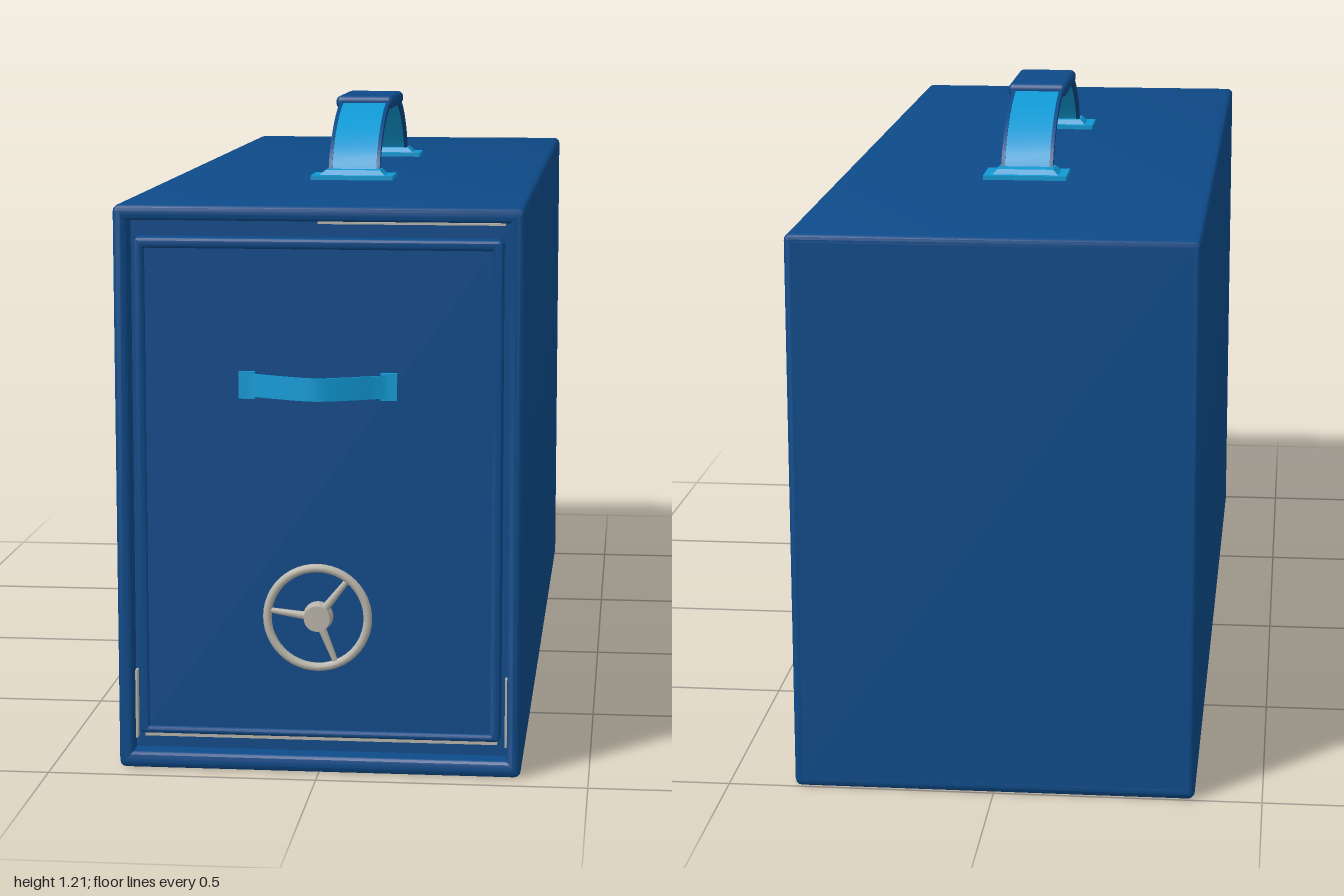
import * as THREE from 'three';
import { toCreasedNormals } from 'three/addons/utils/BufferGeometryUtils.js';
import { RoundedBoxGeometry } from 'three/addons/geometries/RoundedBoxGeometry.js';

const blue = new THREE.MeshStandardMaterial({ color: 0x0d4a88 });
blue.name = 'blue paint';
const sky = new THREE.MeshStandardMaterial({ color: 0x1099d4 });
sky.name = 'light blue';
const metal = new THREE.MeshStandardMaterial({ color: 0xb8b4aa });
metal.name = 'grey metal';

const H = 1.055, FRONT = 0.955, BACK = -1, MID = -0.02;

function add(parent, name, geo, mat, x = 0, y = 0, z = 0) {
  const mesh = new THREE.Mesh(geo, mat);
  mesh.name = name;
  mesh.position.set(x, y, z);
  parent.add(mesh);
  return mesh;
}

function roundedRect(path, x0, y0, x1, y1, r) {
  path.moveTo(x0 + r, y0);
  path.lineTo(x1 - r, y0).quadraticCurveTo(x1, y0, x1, y0 + r);
  path.lineTo(x1, y1 - r).quadraticCurveTo(x1, y1, x1 - r, y1);
  path.lineTo(x0 + r, y1).quadraticCurveTo(x0, y1, x0, y1 - r);
  path.lineTo(x0, y0 + r).quadraticCurveTo(x0, y0, x0 + r, y0);
  return path;
}

// Rectangular frame with rounded lips; arrays are the [x0, y0, x1, y1] limits
function frame(o, i, depth, bevel) {
  const b = bevel;
  const shape = roundedRect(new THREE.Shape(), o[0] + b, o[1] + b, o[2] - b, o[3] - b, 0.004);
  shape.holes.push(roundedRect(new THREE.Path(), i[0] - b, i[1] - b, i[2] + b, i[3] + b, 0.004));
  const geo = new THREE.ExtrudeGeometry(shape, {
    depth: depth - 2 * b, bevelThickness: b, bevelSize: b, bevelSegments: 3, curveSegments: 3,
  });
  geo.translate(0, 0, b);
  return toCreasedNormals(geo, 0.7);
}

// Bent strip: a smooth profile thickened and extruded, centred on its width
function strip(points, thickness, width, segments = 32) {
  const curve = new THREE.SplineCurve(points.map(p => new THREE.Vector2(...p)));
  const outer = [], inner = [];
  for (let k = 0; k <= segments; k++) {
    const p = curve.getPoint(k / segments), t = curve.getTangent(k / segments);
    const n = new THREE.Vector2(-t.y, t.x).multiplyScalar(thickness / 2);
    outer.push(p.clone().add(n));
    inner.unshift(p.clone().sub(n));
  }
  const geo = new THREE.ExtrudeGeometry(new THREE.Shape([...outer, ...inner]), { depth: width, bevelEnabled: false });
  geo.translate(0, 0, -width / 2);
  return toCreasedNormals(geo, 0.6);
}

function carryHandle() {
  const g = new THREE.Group();
  g.name = 'carryHandle';
  const half = [[0.33, 1.062], [0.31, 1.098], [0.26, 1.138], [0.19, 1.172], [0.1, 1.194]];
  const arc = [...half.map(([u, v]) => [-u, v]), [0, 1.198], ...half.reverse()];
  add(g, 'strap', strip(arc, 0.01, 0.09).rotateY(-Math.PI / 2), sky, 0, 0, MID);
  for (const s of [-1, 1]) {
    add(g, 'strapEdge', strip(arc, 0.014, 0.007).rotateY(-Math.PI / 2), blue, s * 0.0485, 0, MID);
    // Stepped mounting foot
    const z = MID + s * 0.335;
    add(g, 'footPlate', new THREE.BoxGeometry(0.166, 0.01, 0.096), sky, 0, H + 0.004, z);
    const top = new THREE.CylinderGeometry(0.8, 1, 1, 4, 1).rotateY(Math.PI / 4);
    top.scale(0.138 / Math.SQRT2, 0.013, 0.074 / Math.SQRT2);
    add(g, 'footStep', toCreasedNormals(top, 0.3), sky, 0, H + 0.0125, z);
  }
  add(g, 'grip', new RoundedBoxGeometry(0.122, 0.028, 0.236, 4, 0.012), blue, 0, 1.197, MID);
  return g;
}

function lockWheel() {
  const g = new THREE.Group();
  g.name = 'lockWheel';
  add(g, 'wheelRim', new THREE.TorusGeometry(0.093, 0.008, 10, 48), metal);
  add(g, 'wheelHub', new THREE.CylinderGeometry(0.024, 0.028, 0.026, 24).rotateX(Math.PI / 2), metal);
  for (const degrees of [52, 172, 292]) {
    const arm = new THREE.CylinderGeometry(0.005, 0.008, 0.075, 8);
    arm.translate(0, 0.055, 0).rotateZ(THREE.MathUtils.degToRad(degrees - 90));
    add(g, 'wheelSpoke', arm, metal);
  }
  g.position.set(0, 0.298, 0.962);
  return g;
}

function door() {
  const g = new THREE.Group();
  g.name = 'door';
  add(g, 'doorPanel', new THREE.BoxGeometry(0.64, 0.9, 0.035), blue, 0, 0.528, 0.927);
  add(g, 'doorRim', frame([-0.337, 0.066, 0.337, 0.996], [-0.318, 0.08, 0.318, 0.976], 0.042, 0.006), blue, 0, 0, 0.908);
  // Bowed pull
  const pull = [[-0.145, 0.951], [-0.115, 0.954], [-0.06, 0.979], [0, 0.997], [0.06, 0.979], [0.115, 0.954], [0.145, 0.951]];
  add(g, 'doorPull', strip(pull, 0.005, 0.042).rotateX(Math.PI / 2), sky, 0, 0.727, 0);
  for (const s of [-1, 1]) {
    add(g, 'pullTab', new THREE.BoxGeometry(0.03, 0.05, 0.009), sky, s * 0.13, 0.727, 0.949);
  }
  g.add(lockWheel());
  return g;
}

export function createModel() {
  const model = new THREE.Group();
  model.name = 'safeBox';

  // Case: open-fronted sleeve, rear panel and a bulkhead behind the door
  add(model, 'caseSleeve', frame([-0.375, 0, 0.375, H], [-0.349, 0.03, 0.349, 1.027], FRONT - BACK, 0.01), blue, 0, 0, BACK);
  add(model, 'rearPanel', new THREE.BoxGeometry(0.73, H - 0.02, 0.02), blue, 0, H / 2, BACK + 0.01);
  add(model, 'bulkhead', new THREE.BoxGeometry(0.71, 1.01, 0.02), blue, 0, H / 2, 0.9);

  // Metal door seals
  add(model, 'lowerSeal', new THREE.BoxGeometry(0.66, 0.01, 0.02), metal, 0, 0.06, 0.917);
  add(model, 'upperSeal', new THREE.BoxGeometry(0.34, 0.004, 0.012), metal, 0.17, 1.024, 0.936);
  for (const s of [-1, 1]) {
    add(model, 'sideSeal', new THREE.BoxGeometry(0.004, 0.13, 0.02), metal, s * 0.346, 0.115, 0.917);
  }

  model.add(door(), carryHandle());
  return model;
}
